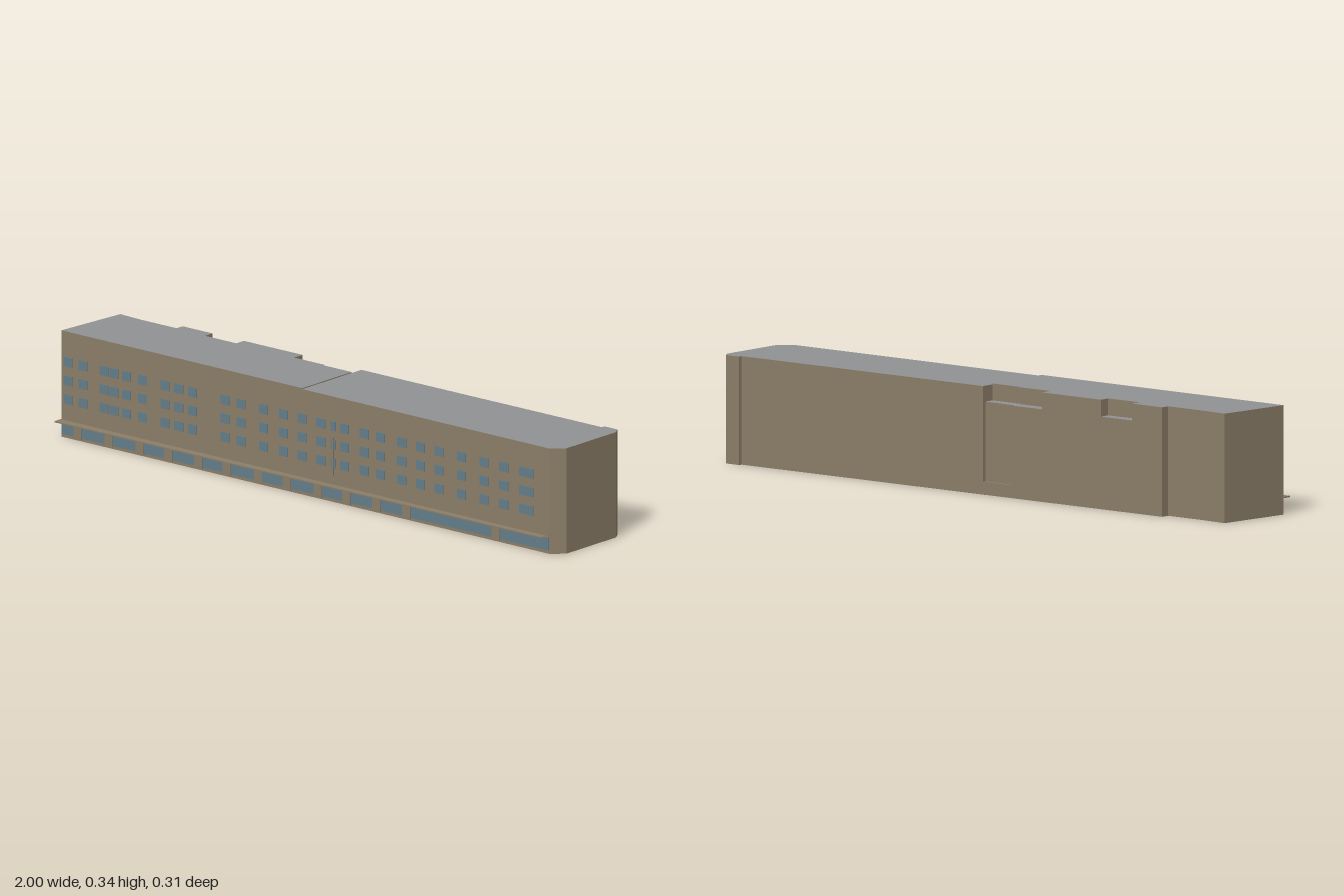
import * as THREE from 'three';

const mat = (name, color) => {
  const m = new THREE.MeshStandardMaterial({ color });
  m.name = name;
  return m;
};

export function createModel() {
  const model = new THREE.Group();
  model.name = 'longBuilding';
  const wall = mat('tan wall', 0x8b7d68);
  const roof = mat('grey roof', 0x8f9193);
  const glass = mat('blue glass', 0x627d8a);

  const splitX = -0.03;
  const frontZ = (x) => 0.132 + 0.004 * x; // the facade is very slightly skewed

  // Footprint slab: outline of [x, z] points raised from y0 to y1
  function slab(name, points, y0, y1, cap) {
    const shape = new THREE.Shape(points.map(([x, z]) => new THREE.Vector2(x, -z)));
    const geo = new THREE.ExtrudeGeometry(shape, { depth: y1 - y0, bevelEnabled: false });
    geo.rotateX(-Math.PI / 2);
    const mesh = new THREE.Mesh(geo, [cap, wall]);
    mesh.position.y = y0;
    mesh.name = name;
    model.add(mesh);
  }

  function box(parent, name, material, x0, x1, y0, y1, z0, z1) {
    const mesh = new THREE.Mesh(new THREE.BoxGeometry(x1 - x0, y1 - y0, z1 - z0), material);
    mesh.position.set((x0 + x1) / 2, (y0 + y1) / 2, (z0 + z1) / 2);
    mesh.name = name;
    parent.add(mesh);
  }

  // Outline pieces, running along the front and then round the back
  const frontLeft = [[splitX, frontZ(splitX)], [0.963, frontZ(0.963)], [1, 0.1]];
  const leftBack = [[1, -0.132], [0.985, -0.157], [0.932, -0.157], [0.932, -0.145], [splitX, -0.145]];
  const rightBack = [[-0.745, -0.145], [-0.745, -0.117], [-0.89, -0.117], [-0.975, -0.123]];
  const frontRight = [[-0.997, frontZ(-1)]];
  const recess = [[splitX, -0.133], [-0.145, -0.137], [-0.145, -0.145]];
  const bigNotch = [[splitX, -0.1], [-0.145, -0.1], [-0.145, -0.106], [-0.265, -0.106], [-0.265, -0.145]];
  const smallNotch = [[-0.5, -0.145], [-0.5, -0.11], [-0.625, -0.11], [-0.625, -0.145]];

  // Main body: plinth, storeys with the rear recess, and a notched top storey
  slab('plinth', [...frontLeft, ...leftBack, ...rightBack, ...frontRight], 0, 0.04, wall);
  slab('storeys', [...frontLeft, ...leftBack, ...recess, ...rightBack, ...frontRight], 0.04, 0.285, roof);
  slab('topStoreyLeft', [...frontLeft, ...leftBack], 0.285, 0.334, roof);
  slab('topStoreyRight', [[splitX, frontZ(splitX)], ...bigNotch, ...smallNotch, ...rightBack, ...frontRight],
    0.285, 0.337, roof);

  // Upper windows: three rows of thin panes
  const windows = new THREE.Group();
  windows.name = 'upperWindows';
  model.add(windows);
  const columns = [-0.97, -0.91, -0.825, -0.785, -0.735, -0.67, -0.58, -0.525, -0.47, -0.34, -0.275,
    -0.185, -0.105, -0.03, 0.045, 0.095, 0.14, 0.22, 0.285, 0.37, 0.445, 0.52, 0.61, 0.7, 0.78, 0.87];
  for (const y of [0.123, 0.182, 0.241]) {
    for (const x of columns) {
      const w = x > 0.8 ? 0.028 : x === 0.095 ? 0.01 : 0.0175;
      box(windows, 'window', glass, x - w, x + w, y - 0.015, y + 0.015, frontZ(x) - 0.002, frontZ(x) + 0.002);
    }
  }

  // Ground floor: shopfront glazing in bays, with piers between
  const shopfront = new THREE.Group();
  shopfront.name = 'shopfront';
  model.add(shopfront);
  const piers = [-0.93, -0.805, -0.68, -0.565, -0.445, -0.33, -0.205, -0.09, 0.035, 0.15, 0.27, 0.39, 0.75];
  const edges = [-0.994, ...piers, 0.96];
  for (let i = 0; i + 1 < edges.length; i++) {
    const z = frontZ((edges[i] + edges[i + 1]) / 2);
    box(shopfront, 'shopGlass', glass, edges[i], edges[i + 1], 0.01, 0.05, z - 0.004, z + 0.002);
  }
  for (const x of piers) {
    box(shopfront, 'pier', wall, x - 0.016, x + 0.016, 0.005, 0.051, frontZ(x) - 0.004, frontZ(x) + 0.004);
  }

  // Canopy over the shops and a slim vertical fin
  slab('canopy', [[-1, 0.125], [-1, 0.157], [0.942, 0.157], [0.963, 0.134]], 0.051, 0.055, wall);
  box(model, 'facadeFin', wall, 0.0925, 0.0975, 0.085, 0.205, 0.13, 0.138);

  return model;
}
